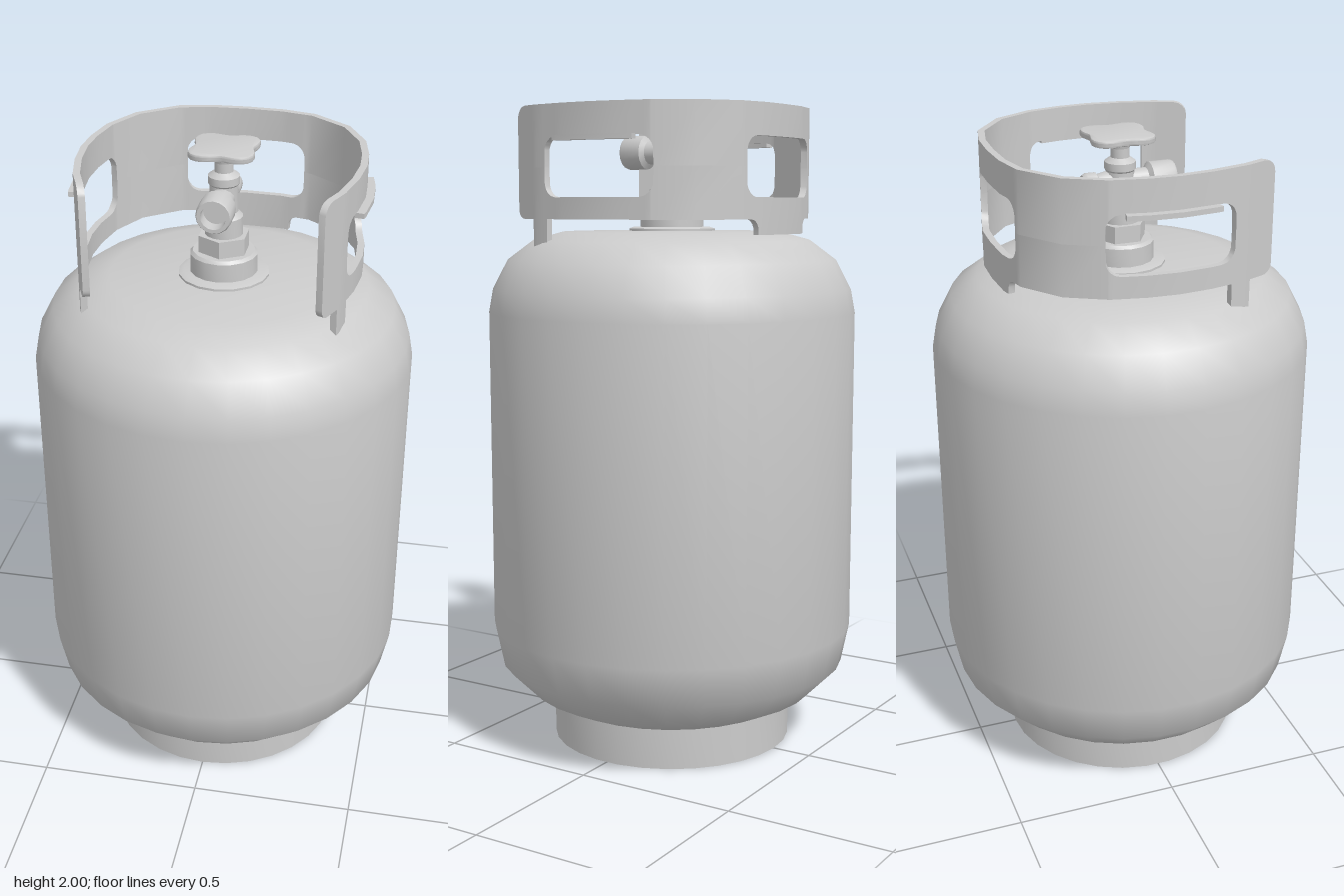
import * as THREE from 'three';
import { toCreasedNormals } from 'three/addons/utils/BufferGeometryUtils.js';

const grey = new THREE.MeshStandardMaterial({ color: 0xcccccc });
const V2 = (p) => new THREE.Vector2(p[0], p[1]);

function part(name, geometry, crease) {
  const mesh = new THREE.Mesh(crease ? toCreasedNormals(geometry, crease) : geometry, grey);
  mesh.name = name;
  return mesh;
}

const lathe = (name, profile, sides, crease = 0.6) =>
  part(name, new THREE.LatheGeometry(profile.map(V2), sides), crease);

// Plan of half the collar (outer face, x/z), from the middle of the back to the front end
const plan = [[0, -0.395], [0.11, -0.39], [0.21, -0.367], [0.325, -0.28], [0.385, -0.165],
  [0.405, -0.06], [0.41, 0.03], [0.4, 0.13], [0.375, 0.24], [0.335, 0.337]].map(V2);
const arc = [0];
for (let i = 1; i < plan.length; i++) arc.push(arc[i - 1] + plan[i].distanceTo(plan[i - 1]));
const END = arc[arc.length - 1];

// Point on the collar at signed distance s from the back
function along(s) {
  const d = Math.min(Math.abs(s), END);
  let i = 1;
  while (i < plan.length - 1 && arc[i] < d) i++;
  const p = plan[i - 1].clone().lerp(plan[i], (d - arc[i - 1]) / (arc[i] - arc[i - 1]));
  if (s < 0) p.x *= -1;
  return p;
}

// Bent plate between heights lo(s) and hi(s), from inner to outer offset
function bentPlate(stations, lo, hi, inner, outer) {
  const pos = [], index = [];
  for (const s of stations) {
    const p = along(s);
    const t = along(s + 0.03).sub(along(s - 0.03)).normalize();
    for (const [off, y] of [[outer, lo(s)], [outer, hi(s)], [inner, hi(s)], [inner, lo(s)]])
      pos.push(p.x + t.y * off, y, p.y - t.x * off);
  }
  const n = stations.length;
  for (let i = 0; i < n - 1; i++) {
    for (let k = 0; k < 4; k++) {
      const a = i * 4 + k, b = i * 4 + (k + 1) % 4;
      index.push(a, b, a + 4, b, b + 4, a + 4);
    }
  }
  const e = (n - 1) * 4;
  index.push(0, 2, 1, 0, 3, 2, e, e + 1, e + 2, e, e + 2, e + 3);
  const g = new THREE.BufferGeometry();
  g.setAttribute('position', new THREE.Float32BufferAttribute(pos, 3));
  g.setIndex(index);
  return g;
}

// Amount a rounded corner of radius r cuts away at distance d from the edge
const round = (d, r) => (d >= r ? 0 : r - Math.sqrt(Math.max(0, r * r - (r - d) ** 2)));

function makeCollar() {
  const group = new THREE.Group();
  group.name = 'collar';
  const MID = 1.797, HALF = 0.088, R = 0.045, EPS = 0.0005;
  const windows = [[-0.19, 0.19], [0.475, 0.86], [-0.86, -0.475]];
  const opening = (s) => {
    for (const [a, b] of windows)
      if (s > a && s < b) return HALF - round(Math.min(s - a, b - s), R);
    return 0;
  };
  const bottom = (s) => {
    const d = Math.abs(s);
    if (d < 0.14) return 1.6;
    if (d < 0.17) return 1.645 - round(d - 0.14, 0.03);
    if (d > 0.852 && d < 0.917) return 1.56;
    return 1.645 + round(END - d, 0.03);
  };
  const top = (s) => 1.98 - round(END - Math.abs(s), 0.04);

  // Stations at the folds, window corners, feet and rounded ends
  const half = [...arc, 0.14 - EPS, 0.14 + EPS, 0.155, 0.17,
    0.852 - EPS, 0.852 + EPS, 0.917 - EPS, 0.917 + EPS];
  for (const q of [0.03, 0.12, 0.3, 0.6, 1]) {
    half.push(0.19 - R * q, 0.475 + R * q, 0.86 - R * q, END - 0.04 * q);
  }
  for (const e of [0.19, 0.475, 0.86]) half.push(e - EPS, e + EPS);
  const stations = [...new Set([...half, ...half.filter((s) => s > 0).map((s) => -s)])].sort((a, b) => a - b);

  group.add(part('collarUpperBand', bentPlate(stations, (s) => MID + opening(s), top, -0.02, 0), 0.75));
  group.add(part('collarLowerBand', bentPlate(stations, bottom, (s) => MID - opening(s), -0.02, 0), 0.75));

  // Grip lips turned outward over the side windows
  const lip = [0.53, ...arc.filter((s) => s > 0.54 && s < 0.79), 0.8];
  for (const side of [1, -1]) {
    const st = lip.map((s) => s * side).sort((a, b) => a - b);
    group.add(part(side > 0 ? 'leftGripLip' : 'rightGripLip',
      bentPlate(st, () => 1.872, () => 1.887, -0.005, 0.023), 0.75));
  }
  return group;
}

function makeValve() {
  const group = new THREE.Group();
  group.name = 'valve';
  group.add(lathe('valveFlange', [[0, 1.6], [0.135, 1.6], [0.135, 1.615], [0.12, 1.62], [0, 1.62]], 16));
  group.add(lathe('valveBoss', [[0, 1.61], [0.1, 1.61], [0.1, 1.675], [0.092, 1.684], [0, 1.684]], 16));
  const nut = part('hexNut', new THREE.CylinderGeometry(0.078, 0.078, 0.052, 6), 0.5);
  nut.position.y = 1.709;
  group.add(nut);
  group.add(lathe('valveBody', [[0, 1.73], [0.056, 1.73], [0.056, 1.79], [0.042, 1.805], [0.042, 1.885],
    [0.046, 1.89], [0.046, 1.912], [0.028, 1.925], [0.028, 1.985], [0, 1.985]], 16));

  // Cross pipe with the open outlet at the front and a cap at the back
  const pipe = lathe('outlet', [[0, -0.115], [0.03, -0.115], [0.036, -0.105], [0.036, -0.075], [0.03, -0.07],
    [0.036, -0.04], [0.036, 0.08], [0.052, 0.09], [0.052, 0.155], [0.048, 0.163], [0.037, 0.163],
    [0.037, 0.12], [0, 0.12]], 16);
  pipe.rotation.x = Math.PI / 2;
  pipe.position.y = 1.848;
  group.add(pipe);

  // Four-lobed handwheel
  const outline = [];
  for (let i = 0; i < 40; i++) {
    const a = (i / 40) * Math.PI * 2, r = 0.094 - 0.016 * Math.cos(4 * a);
    outline.push(new THREE.Vector2(r * Math.cos(a), r * Math.sin(a)));
  }
  const wheel = part('handwheel', new THREE.ExtrudeGeometry(new THREE.Shape(outline),
    { depth: 0.008, bevelThickness: 0.007, bevelSize: 0.007, bevelSegments: 2 }), 0.7);
  wheel.rotation.x = -Math.PI / 2;
  wheel.position.set(0, 1.983, -0.008);
  group.add(wheel);
  group.add(lathe('handwheelHub', [[0.026, 1.945], [0.03, 1.96], [0.055, 1.978], [0, 1.98]], 16));
  return group;
}

export function createModel() {
  const model = new THREE.Group();
  model.name = 'gasCylinder';

  // Tank with rounded shoulders
  model.add(lathe('tank', [[0, 0.1], [0.25, 0.105], [0.37, 0.12], [0.455, 0.16], [0.545, 0.25], [0.57, 0.37],
    [0.57, 1.36], [0.557, 1.43], [0.51, 1.52], [0.43, 1.58], [0.34, 1.605], [0, 1.61]], 30, 1));

  // Open foot ring
  model.add(lathe('footRing', [[0.345, 0.13], [0.345, 0], [0.377, 0], [0.377, 0.13]], 30));

  model.add(makeCollar(), makeValve());
  return model;
}
